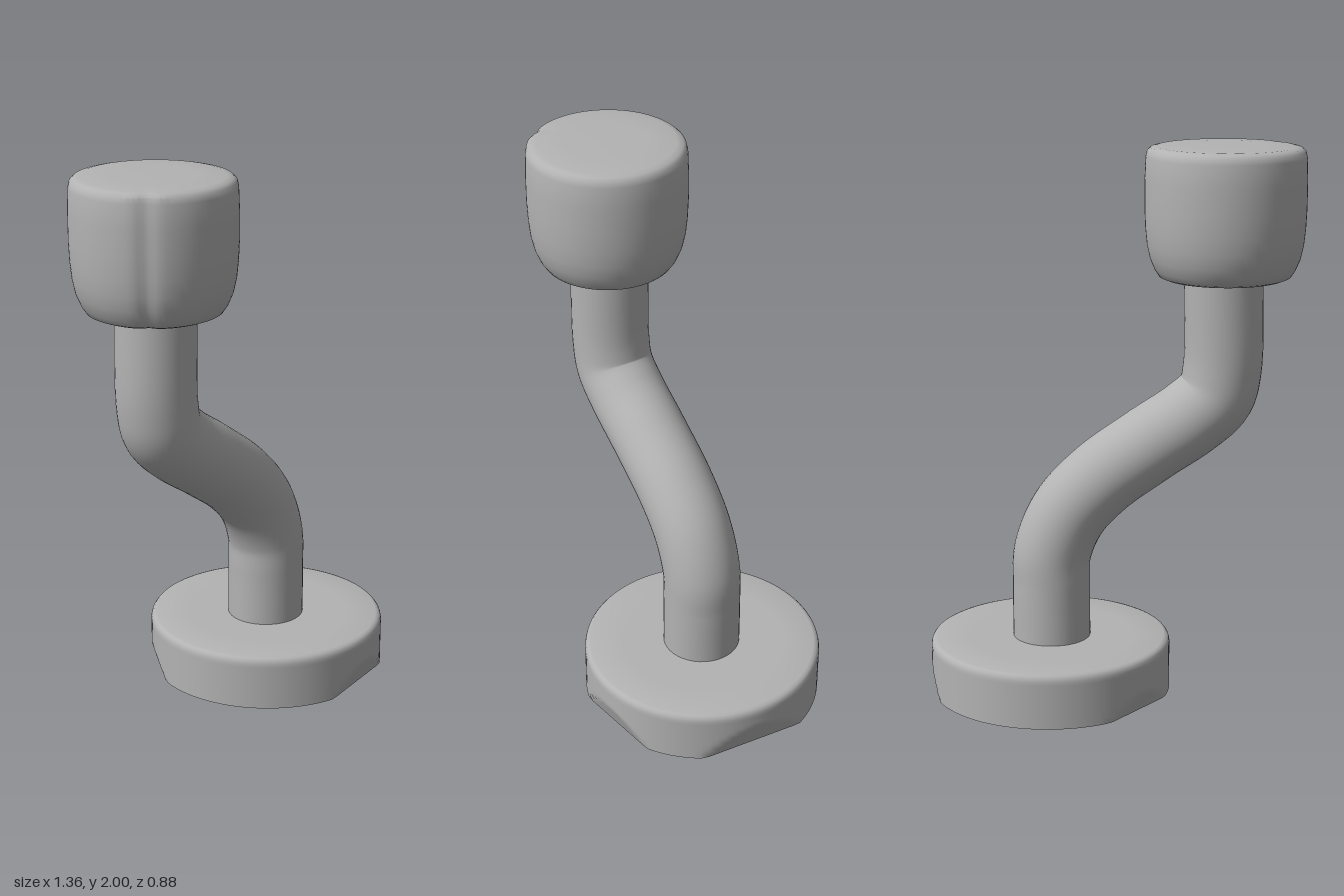
import * as THREE from 'three';
import { toCreasedNormals } from 'three/addons/utils/BufferGeometryUtils.js';

const BASE_X = 0.235, BASE_R = 0.44, CUP_X = -0.395;

// Revolve a profile, then let a rule reshape each point's radius.
function turned(profile, reshape) {
  const geo = new THREE.LatheGeometry(profile.map(([r, y]) => new THREE.Vector2(r, y)), 96);
  const p = geo.attributes.position;
  for (let i = 0; i < p.count; i++) {
    const x = p.getX(i), y = p.getY(i), z = p.getZ(i);
    const r = Math.hypot(x, z);
    if (r < 1e-6) continue;
    const k = reshape(r, y, Math.atan2(x, z)) / r;
    p.setXYZ(i, x * k, y, z * k);
  }
  return toCreasedNormals(geo, 0.6);
}

// Sloping chips in the lower rim: heading (0 = front, + towards +x), flat distance at the floor, top height
const chips = [
  { heading: 0.1, flat: 0.403, top: 0.1 },
  { heading: 1.48, flat: 0.392, top: 0.12 },
  { heading: -2.29, flat: 0.412, top: 0.08 },
];
function chipped(r, y, angle) {
  if (r < 0.3 || y > 0.14) return r;
  for (const c of chips) {
    const cos = Math.cos(angle - c.heading);
    if (cos > 0.5) r = Math.min(r, (c.flat + (BASE_R - c.flat) * y / c.top) / cos);
  }
  return r;
}

// Shallow dent down the front right flank of the cup
function dented(r, y, angle) {
  if (r < 0.2) return r;
  return r - 0.012 * Math.exp(-(((angle + 0.95) / 0.1) ** 2));
}

export function createModel() {
  const group = new THREE.Group();
  const grey = new THREE.MeshStandardMaterial({ color: 0xb3b3b3 });
  grey.name = 'plain grey';
  const add = (name, geo, x = 0) => {
    const mesh = new THREE.Mesh(geo, grey);
    mesh.name = name;
    mesh.position.x = x;
    group.add(mesh);
  };

  // Round base with a stepped screw hole underneath
  const wall = [];
  for (let i = 0; i <= 14; i++) wall.push([BASE_R, i * 0.0125]);
  add('base', turned([
    [0, 0.14], [0.1, 0.14], [0.1, 0.035], [0.13, 0.035], [0.13, 0],
    ...wall,
    [0.437, 0.187], [0.43, 0.196], [0.418, 0.2], [0.3, 0.2], [0, 0.2],
  ], chipped), BASE_X);

  // S-bent stem
  const path = new THREE.CatmullRomCurve3([
    [0.23, 0.18], [0.23, 0.4], [0.225, 0.52], [0.165, 0.665], [0.05, 0.79],
    [-0.13, 0.92], [-0.28, 1.02], [-0.365, 1.1], [-0.39, 1.2], [-0.39, 1.56],
  ].map(([x, y]) => new THREE.Vector3(x, y, 0)));
  add('stem', new THREE.TubeGeometry(path, 90, 0.142, 40, false));

  // Cup-shaped knob with rounded edges
  add('knob', turned([
    [0, 1.54], [0.18, 1.54], [0.195, 1.532], [0.215, 1.53], [0.235, 1.538], [0.25, 1.56],
    [0.267, 1.6], [0.278, 1.65], [0.284, 1.71], [0.287, 1.78], [0.287, 1.88],
    [0.284, 1.96], [0.279, 1.981], [0.267, 1.992], [0.245, 1.997], [0.15, 2], [0, 2],
  ], dented), CUP_X);

  return group;
}
